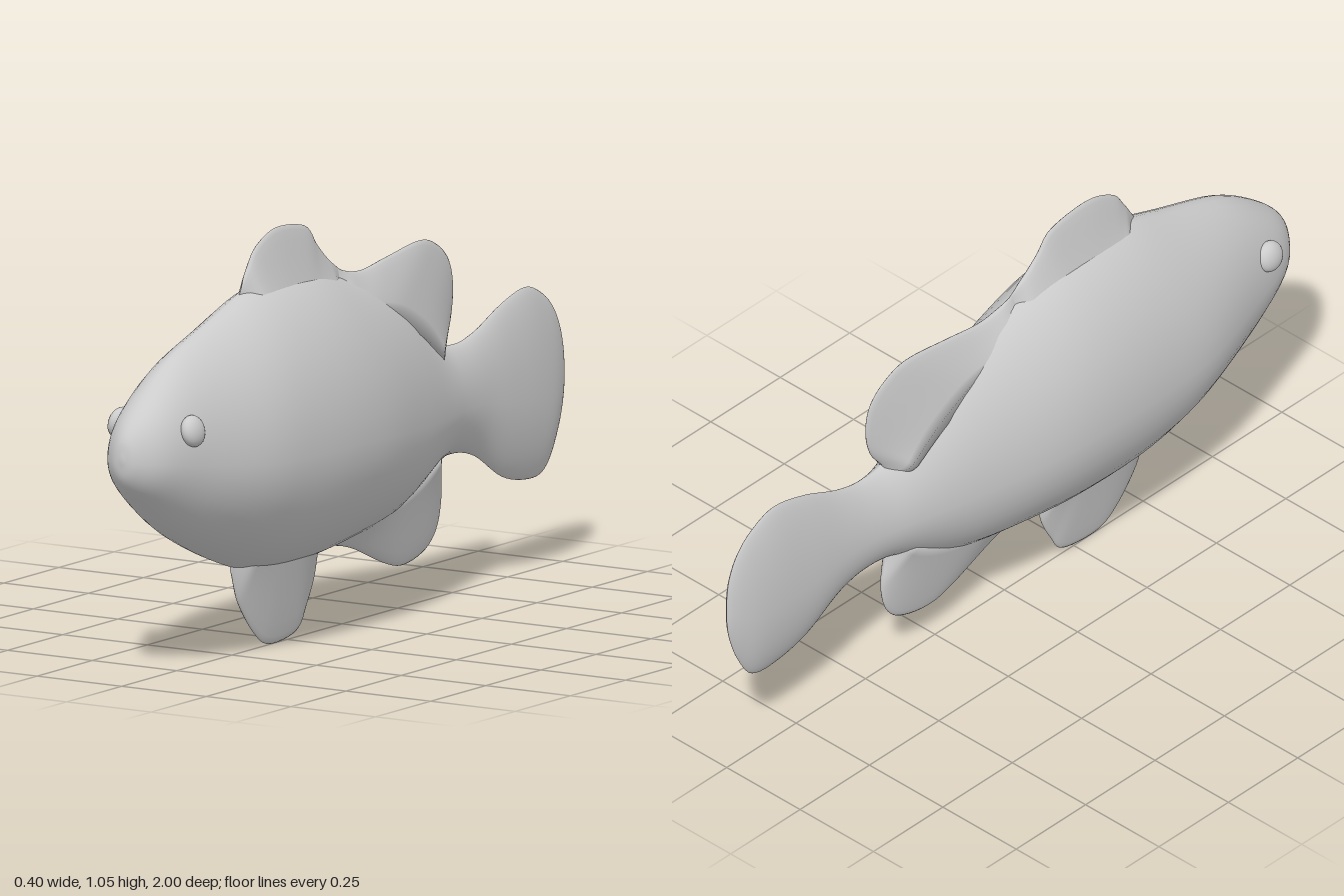
import * as THREE from 'three';
import { mergeVertices } from 'three/addons/utils/BufferGeometryUtils.js';

const material = new THREE.MeshStandardMaterial({ color: 0xcccccc, side: THREE.DoubleSide });

// Skin a list of closed rings (each counter-clockwise seen from +z, running towards -z).
function loft(name, rings) {
  const n = rings[0].length, index = [];
  for (let i = 0; i < rings.length - 1; i++) {
    for (let j = 0; j < n; j++) {
      const k = (j + 1) % n, a = i * n, b = a + n;
      index.push(a + j, b + j, b + k, a + j, b + k, a + k);
    }
  }
  let geometry = new THREE.BufferGeometry();
  geometry.setAttribute('position', new THREE.Float32BufferAttribute(rings.flat(2), 3));
  geometry.setIndex(index);
  geometry = mergeVertices(geometry, 1e-4);
  geometry.computeVertexNormals();
  const mesh = new THREE.Mesh(geometry, material);
  mesh.name = name;
  return mesh;
}

const spline = (points) =>
  new THREE.CatmullRomCurve3(points.map((p) => new THREE.Vector3(...p)), false, 'catmullrom', 0.5);

// Body and tail stations: z, bottom y, top y, half width
const STATIONS = [
  [1, 0.575, 0.575, 0], [0.985, 0.515, 0.635, 0.04], [0.92, 0.45, 0.705, 0.092],
  [0.78, 0.345, 0.8, 0.132], [0.58, 0.255, 0.87, 0.184], [0.4, 0.205, 0.925, 0.199],
  [0.2, 0.2, 0.93, 0.2], [0.02, 0.215, 0.885, 0.182], [-0.2, 0.25, 0.8, 0.132],
  [-0.4, 0.34, 0.66, 0.078], [-0.5, 0.357, 0.632, 0.055], [-0.6, 0.335, 0.65, 0.045],
  [-0.72, 0.265, 0.7, 0.044], [-0.83, 0.24, 0.725, 0.042], [-0.91, 0.25, 0.695, 0.036],
  [-0.96, 0.32, 0.65, 0.025], [-0.99, 0.4, 0.59, 0.012], [-1, 0.46, 0.53, 0],
];

function buildBody() {
  const outline = spline(STATIONS.map(([z, bottom, top]) => [z, bottom, top]));
  const widths = spline(STATIONS.map(([z, , , w]) => [z, w, 0]));
  const rings = [], steps = 85, sides = 40;
  for (let i = 0; i <= steps; i++) {
    const { x: z, y: bottom, z: top } = outline.getPoint(i / steps);
    const w = Math.max(0, widths.getPoint(i / steps).y);
    const mid = bottom + 0.43 * (top - bottom);
    // Rounded nose turning into a section with keeled back and belly
    const power = THREE.MathUtils.lerp(1.4, 1, THREE.MathUtils.smoothstep(z, 0.6, 1));
    const ring = [];
    for (let j = 0; j < sides; j++) {
      const a = (j / sides) * Math.PI * 2, c = Math.cos(a), s = Math.sin(a);
      const x = w * Math.sign(c) * Math.abs(c) ** power;
      ring.push([x, mid + s * (s > 0 ? top - mid : mid - bottom), z]);
    }
    rings.push(ring);
  }
  return loft('body', rings);
}

// Fin: tapers from a thick root line inside the body to a thin rounded rim (points are z, y)
function buildFin(name, side, root, rim, thickness) {
  const rootCurve = spline(root.map(([z, y]) => [0, y, z]));
  const rimCurve = spline(rim.map(([z, y]) => [0, y, z]));
  const rows = [0, 0.2, 0.4, 0.6, 0.8, 0.93, 0.98];
  const rings = [], steps = 42;
  for (let i = 0; i <= steps; i++) {
    const u = i / steps;
    const a = rootCurve.getPoint(u), b = rimCurve.getPoint(u);
    const ends = Math.min(1, 2.5 * Math.sin(Math.PI * u));
    const at = (t, sign) => {
      const p = a.clone().lerp(b, t);
      const half = (thickness * (1 - t) ** 1.2 + 0.009 * Math.sqrt(1 - t ** 8)) * ends;
      return [sign * half, p.y, p.z];
    };
    rings.push([
      ...rows.map((t) => at(t, side)),
      [0, b.y, b.z],
      ...[...rows].reverse().map((t) => at(t, -side)),
    ]);
  }
  return loft(name, rings);
}

export function createModel() {
  const model = new THREE.Group();
  model.name = 'fish';
  model.add(buildBody());

  model.add(buildFin('frontDorsalFin', 1,
    [[0.46, 0.87], [0.25, 0.87], [0, 0.83]],
    [[0.47, 0.905], [0.43, 0.97], [0.39, 1.02], [0.3, 1.053], [0.17, 1.037], [0.12, 0.985],
      [0.07, 0.94], [0, 0.895]], 0.045));
  model.add(buildFin('rearDorsalFin', 1,
    [[0.08, 0.84], [-0.1, 0.78], [-0.28, 0.69], [-0.44, 0.58]],
    [[0.06, 0.925], [-0.01, 0.895], [-0.09, 0.885], [-0.2, 0.9], [-0.35, 0.918], [-0.43, 0.895],
      [-0.485, 0.845], [-0.5, 0.77], [-0.48, 0.69], [-0.43, 0.63]], 0.05));
  model.add(buildFin('pelvicFin', -1,
    [[0.49, 0.29], [0.3, 0.27], [0.13, 0.27]],
    [[0.51, 0.225], [0.47, 0.13], [0.4, 0.045], [0.33, 0.008], [0.21, 0.022], [0.165, 0.08],
      [0.135, 0.14], [0.12, 0.21]], 0.045));
  model.add(buildFin('analFin', -1,
    [[0.1, 0.28], [-0.1, 0.29], [-0.28, 0.34], [-0.43, 0.4]],
    [[0.11, 0.215], [0.04, 0.21], [-0.05, 0.188], [-0.19, 0.13], [-0.28, 0.112], [-0.38, 0.137],
      [-0.43, 0.19], [-0.443, 0.27], [-0.42, 0.36]], 0.045));

  // Small bulging eyes
  for (const side of [1, -1]) {
    const eye = new THREE.Mesh(new THREE.SphereGeometry(0.04, 20, 14), material);
    eye.name = side > 0 ? 'leftEye' : 'rightEye';
    eye.scale.set(0.62, 1, 1);
    eye.position.set(side * 0.108, 0.636, 0.842);
    eye.rotation.z = side * 0.25;
    model.add(eye);
  }
  return model;
}
